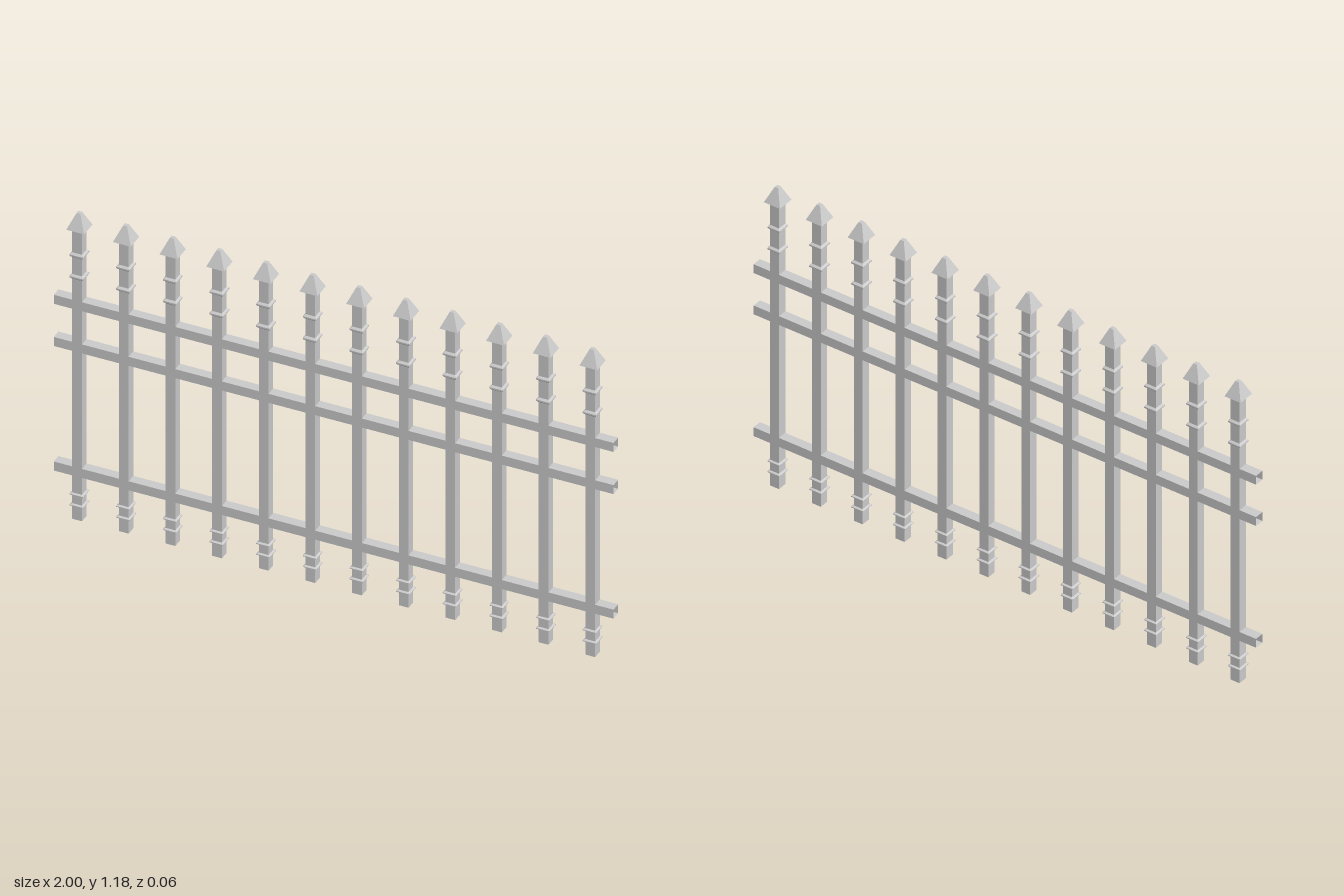
import * as THREE from 'three';

const material = new THREE.MeshStandardMaterial({ color: 0xcccccc, flatShading: true, side: THREE.DoubleSide });
const HALF = 0.0175; // half thickness of posts and rails
const RAILS = [0.186, 0.67, 0.834];
const POSTS = 12;

// Four-sided solid from [half width, height] pairs, bottom to top
function squareLathe(profile) {
  const points = profile.map(([w, y]) => new THREE.Vector2(w * Math.SQRT2, y));
  return new THREE.LatheGeometry(points, 4, Math.PI / 4);
}

// Bevelled square collar around a post, as profile points
function collar(y, h) {
  return [[HALF, y - h], [0.024, y - h * 0.3], [0.024, y + h * 0.3], [HALF, y + h]];
}

export function createModel() {
  const fence = new THREE.Group();
  fence.name = 'fence';

  const [low, mid, high] = RAILS;
  const parts = {
    postFoot: squareLathe([[0, 0], [HALF, 0], ...collar(0.056, 0.005), ...collar(0.098, 0.005), [HALF, low - HALF]]),
    postShaft: squareLathe([[HALF, low + HALF], [HALF, mid - HALF]]),
    postNeck: squareLathe([[HALF, mid + HALF], [HALF, high - HALF]]),
    postTop: squareLathe([[HALF, high + HALF], ...collar(0.943, 0.009), ...collar(1.027, 0.009), [HALF, 1.122]]),
    spearTip: squareLathe([[HALF, 1.122], [0.032, 1.128], [0.007, 1.185], [0, 1.185]]),
  };

  // Evenly spaced posts, interrupted by the rails
  for (let i = 0; i < POSTS; i++) {
    const post = new THREE.Group();
    post.name = 'post';
    post.position.x = (2 / POSTS) * (i + 0.5) - 1;
    for (const [name, geometry] of Object.entries(parts)) {
      const mesh = new THREE.Mesh(geometry, material);
      mesh.name = name;
      post.add(mesh);
    }
    fence.add(post);
  }

  // Hollow square rails with open ends
  const railGeometry = squareLathe([[HALF, -1], [HALF, 1]]).rotateZ(Math.PI / 2);
  for (const y of RAILS) {
    const rail = new THREE.Mesh(railGeometry, material);
    rail.name = 'rail';
    rail.position.y = y;
    fence.add(rail);
  }
  return fence;
}
